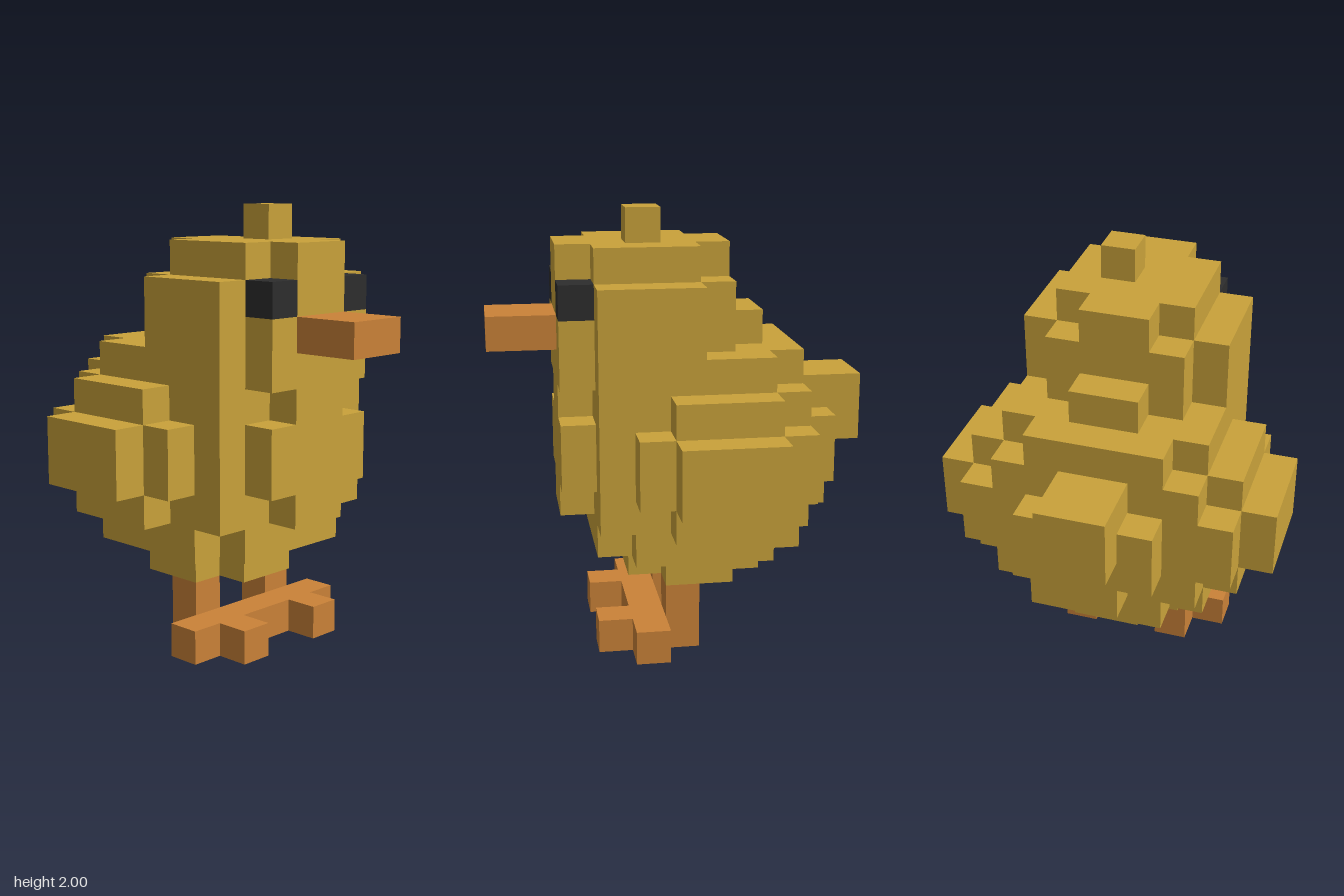
import * as THREE from 'three';

// One block of the grid; the bird is 13 blocks tall
const U = 2 / 13;

const material = (name, color) => {
  const m = new THREE.MeshStandardMaterial({ color });
  m.name = name;
  return m;
};

export function createModel() {
  const model = new THREE.Group();
  model.name = 'blockChick';
  const plumage = material('yellowPlumage', 0xc9a23a);
  const orange = material('beakOrange', 0xca8238);
  const black = material('eyeBlack', 0x2d2d2d);

  // Box between two corners, given in blocks
  const block = (name, mat, x0, x1, y0, y1, z0, z1) => {
    const mesh = new THREE.Mesh(new THREE.BoxGeometry((x1 - x0) * U, (y1 - y0) * U, (z1 - z0) * U), mat);
    mesh.position.set((x0 + x1) / 2 * U, (y0 + y1) / 2 * U, (z0 + z1) / 2 * U);
    mesh.name = name;
    model.add(mesh);
  };
  // Box centred on x with half-width w
  const centred = (name, mat, w, ...yz) => block(name, mat, -w, w, ...yz);
  // Mirrored pair of boxes
  const pair = (name, mat, x0, x1, ...yz) => {
    block(name + 'Left', mat, x0, x1, ...yz);
    block(name + 'Right', mat, -x1, -x0, ...yz);
  };

  // Belly, narrowing downwards in stepped layers
  centred('bellyBottom', plumage, 2, 2, 3, -1.5, 0.5);
  centred('bellyBottomKeel', plumage, 1, 2, 3, -2.5, 1.5);
  centred('bellyLower', plumage, 3, 3, 4, -2.5, 1.5);
  centred('bellyLowerKeel', plumage, 2, 3, 4, -3.5, 2.5);

  // Body and shoulders
  centred('body', plumage, 3, 4, 8, -3.5, 2.5);
  centred('shoulders', plumage, 3, 8, 9, -2.5, 2.5);
  centred('upperBack', plumage, 2, 8, 9, -3.5, -2.5);

  // Raised chest and rump, each a stepped cross
  for (const [name, z0, z1] of [['chest', 2.5, 3.5], ['rump', -4.5, -3.5]]) {
    centred(name, plumage, 1, 4, 8, z0, z1);
    pair(name + 'Side', plumage, 1, 2, 5, 7, z0, z1);
  }
  centred('tail', plumage, 1, 6, 8, -5.5, -4.5);

  // Wings
  pair('wing', plumage, 3, 4, 4, 8, -2.5, 0.5);
  pair('wingBand', plumage, 3, 4, 5, 7, -3.5, 1.5);
  pair('wingOuter', plumage, 4, 5, 5, 7, -2.5, 0.5);

  // Head
  centred('head', plumage, 3, 9, 11, -0.5, 2.5);
  centred('headBack', plumage, 2, 9, 11, -1.5, -0.5);
  centred('nape', plumage, 1, 9, 10, -2.5, -1.5);
  centred('crown', plumage, 2, 11, 12, -0.5, 2.5);
  centred('crownBack', plumage, 1, 11, 12, -1.5, -0.5);
  centred('cheeks', plumage, 2, 8, 10, 2.5, 3.5);
  centred('forehead', plumage, 1, 10, 12, 2.5, 3.5);
  block('tuft', plumage, 0, 1, 12, 13, 0.5, 1.5);

  // Eyes and beak
  pair('eye', black, 1, 2, 10, 11, 2.5, 3.5);
  centred('beak', orange, 1, 9, 10, 3.5, 5.5);

  // Legs and joined feet
  pair('leg', orange, 1, 2, 0, 2, -0.5, 0.5);
  centred('footBar', orange, 3, 0, 1, 0.5, 1.5);
  pair('frontToe', orange, 1, 2, 0, 1, 1.5, 2.5);

  return model;
}
